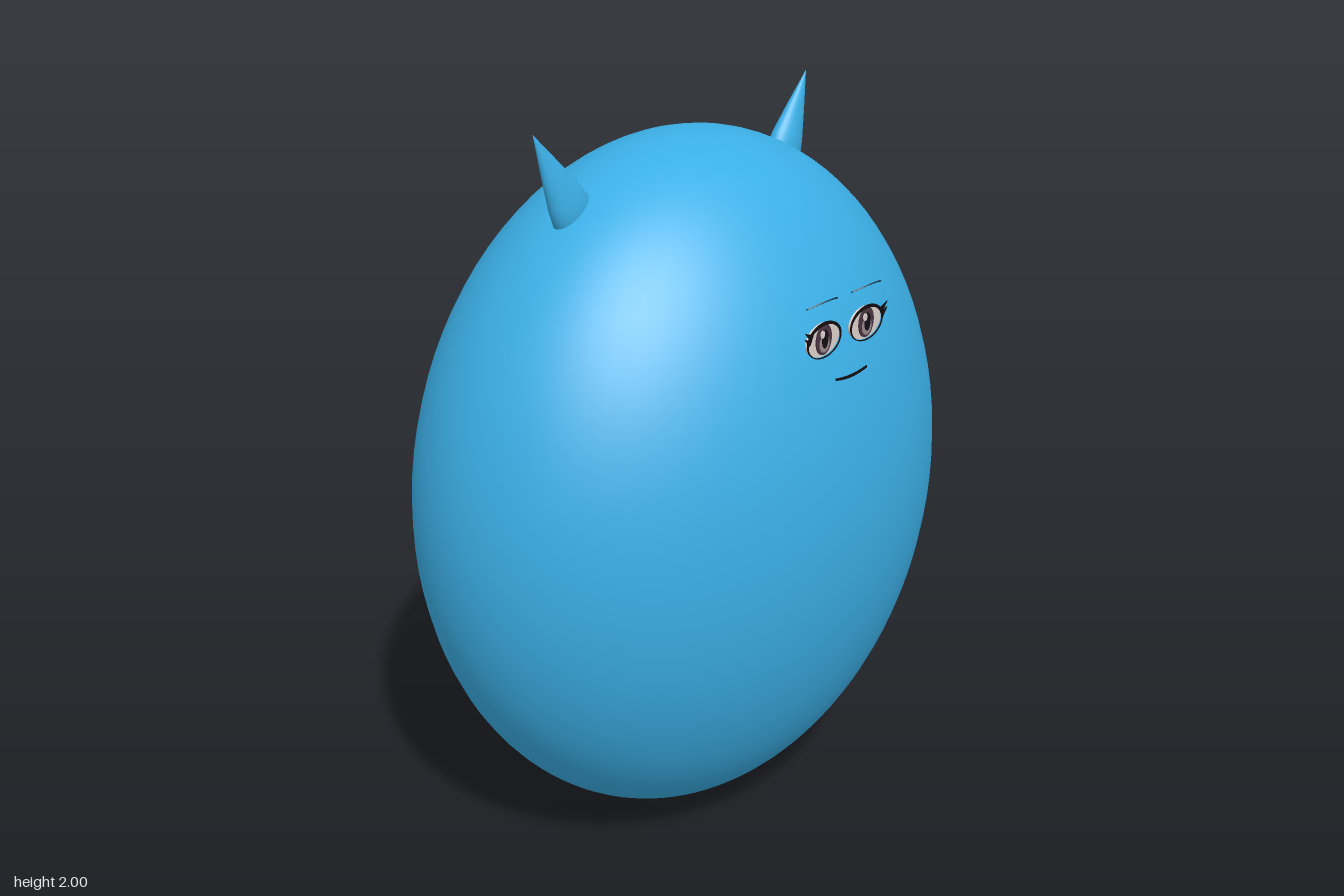
import * as THREE from 'three';

const material = (name, color) => {
  const m = new THREE.MeshStandardMaterial({ color });
  m.name = name;
  return m;
};

export function createModel() {
  const blue = material('body blue', 0x3bafe6);
  const white = material('eye white', 0xded2cd);
  const black = material('line black', 0x120d10);
  const plum = material('iris plum', 0x4a3440);
  const grey = material('iris grey', 0x9a8c92);
  const navy = material('brow navy', 0x173c50);

  const model = new THREE.Group();
  const add = (parent, name, geometry, mat, x = 0, y = 0, z = 0) => {
    const mesh = new THREE.Mesh(geometry, mat);
    mesh.name = name;
    mesh.position.set(x, y, z);
    parent.add(mesh);
    return mesh;
  };

  // Thin plate cut from a flat shape
  const plate = (shape, depth = 0.003) =>
    new THREE.ExtrudeGeometry(shape, { depth, bevelEnabled: false, curveSegments: 24 });
  const ellipse = (rx, ry) => new THREE.Shape().absellipse(0, 0, rx, ry, 0, Math.PI * 2);

  // Curved stroke, thickest in the middle: half width w, rise h, thickness t
  const stroke = (w, h, t) => {
    const s = new THREE.Shape();
    s.moveTo(-w, -t * 0.3);
    s.quadraticCurveTo(0, h * 2 - t * 0.5, w, -t * 0.3);
    s.lineTo(w, t * 0.3);
    s.quadraticCurveTo(0, h * 2 + t * 0.5, -w, t * 0.3);
    return s;
  };

  // Smooth egg-like body
  add(model, 'body', new THREE.SphereGeometry(1, 64, 48), blue, 0, 0.966, 0).scale.set(0.848, 0.962, 0.605);

  // Horns: flattened cones running from inside the body to the tip
  const tip = new THREE.Vector3(0.537, 2.0, -0.013);
  const root = new THREE.Vector3(0.405, 1.755, 0.003);
  const length = tip.distanceTo(root);
  const profile = [[0, 0], [0.05, 0.005], [0.064, 0.04], [0.056, 0.085], [0.034, 0.165], [0, length]]
    .map(([r, y]) => new THREE.Vector2(r, y));
  for (const side of [1, -1]) {
    const horn = add(model, side > 0 ? 'leftHorn' : 'rightHorn',
      new THREE.LatheGeometry(profile, 32), blue, root.x * side, root.y, root.z);
    const lean = Math.atan2(tip.x - root.x, tip.y - root.y);
    horn.rotation.set(-0.06, 0, -lean * side);
    horn.scale.z = 0.6;
  }

  // Eyes and brows
  for (const side of [1, -1]) {
    const eye = new THREE.Group();
    eye.name = side > 0 ? 'leftEye' : 'rightEye';
    eye.position.set(0.09 * side, 1.492, 0.524);
    model.add(eye);

    add(eye, 'eyeWhite', plate(ellipse(0.066, 0.043), 0.007), white);
    add(eye, 'iris', plate(ellipse(0.032, 0.04)), plum, 0, 0.001, 0.007);
    add(eye, 'irisGlow', plate(ellipse(0.02, 0.022)), grey, 0, -0.01, 0.009);
    add(eye, 'pupil', plate(ellipse(0.012, 0.024)), black, 0, 0.003, 0.011);
    add(eye, 'highlight', plate(ellipse(0.008, 0.01)), white, -0.013, 0.018, 0.013);

    // Rim, heavier along the upper lid
    const rim = ellipse(0.07, 0.047);
    rim.holes.push(new THREE.Path().absellipse(0, -0.003, 0.066, 0.0415, 0, Math.PI * 2));
    add(eye, 'eyeRim', plate(rim), black, 0, 0, 0.009);

    // Lash flicks at the outer corner
    for (const [x, y, dx, dy] of [[0.06, 0.018, 0.024, 0.02], [0.066, 0.006, 0.018, 0.016]]) {
      const lash = new THREE.Shape();
      lash.moveTo(x * side, y - 0.006);
      lash.lineTo((x + dx) * side, y + dy);
      lash.lineTo((x - 0.01) * side, y + 0.008);
      add(eye, 'lash', plate(lash), black, 0, 0, 0.012);
    }

    // Brow tipped forward
    const brow = add(model, side > 0 ? 'leftBrow' : 'rightBrow',
      plate(stroke(0.062, 0.025, 0.01)), navy, 0.093 * side, 1.586, 0.526);
    brow.rotation.x = 1.0;
  }

  // Mouth
  add(model, 'mouth', plate(stroke(0.066, -0.007, 0.009)), black, 0, 1.386, 0.555);

  return model;
}
